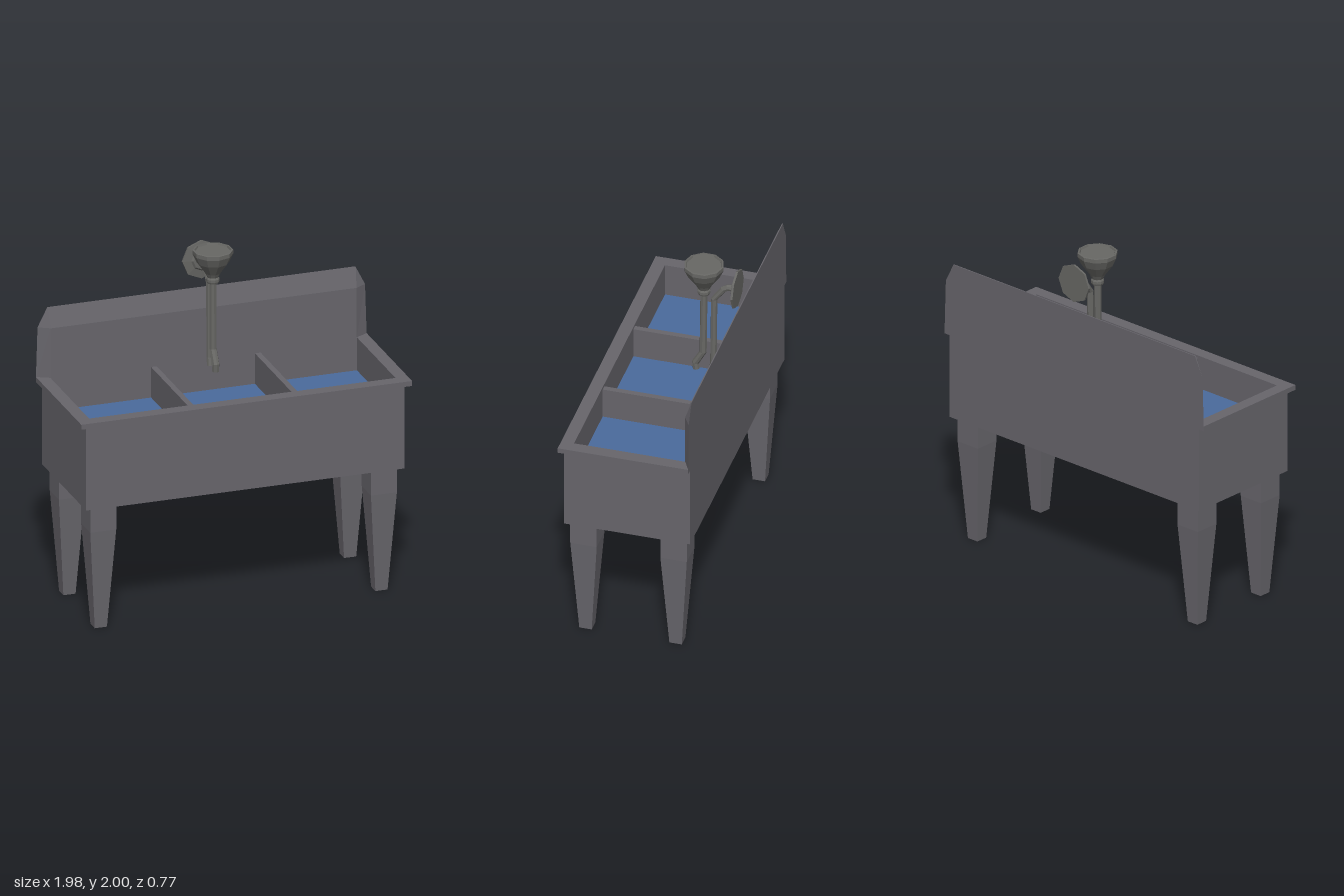
import * as THREE from 'three';

const steel = new THREE.MeshStandardMaterial({ color: 0x67656b, flatShading: true });
steel.name = 'grey steel';
const pipeMetal = new THREE.MeshStandardMaterial({ color: 0x676764, flatShading: true });
pipeMetal.name = 'pipe metal';
const waterBlue = new THREE.MeshStandardMaterial({ color: 0x4a6b9c, flatShading: true });
waterBlue.name = 'water blue';

const add = (parent, name, geometry, material, x = 0, y = 0, z = 0) => {
  const mesh = new THREE.Mesh(geometry, material);
  mesh.name = name;
  mesh.position.set(x, y, z);
  parent.add(mesh);
  return mesh;
};

// Rectangular ring in plan with the basin opening cut out, raised by height
function basinRing(x, back, front, height) {
  const rect = (Type, x0, x1, z0, z1) => new Type([
    [x0, -z1], [x1, -z1], [x1, -z0], [x0, -z0],
  ].map(([a, b]) => new THREE.Vector2(a, b)));
  const shape = rect(THREE.Shape, -x, x, back, front);
  shape.holes.push(rect(THREE.Path, -0.915, 0.915, -0.34, 0.31));
  return new THREE.ExtrudeGeometry(shape, { depth: height, bevelEnabled: false }).rotateX(-Math.PI / 2);
}

// Square post, straight at the top and tapering to the foot
function legGeometry() {
  const g = new THREE.BoxGeometry(0.155, 0.75, 0.155, 1, 2, 1).translate(0, 0.375, 0);
  const p = g.attributes.position;
  for (let i = 0; i < p.count; i++) {
    const y = p.getY(i);
    if (y < 0.1) p.setXYZ(i, p.getX(i) * 0.47, 0, p.getZ(i) * 0.47);
    else if (y < 0.7) p.setY(i, 0.6);
  }
  g.computeVertexNormals();
  return g;
}

// Upright panel with chamfered sides and a sloping, narrowed top
function backsplashGeometry() {
  const g = new THREE.BoxGeometry(2, 2, 2, 1, 2, 1);
  const p = g.attributes.position;
  for (let i = 0; i < p.count; i++) {
    const sx = Math.sign(p.getX(i)), level = Math.round(p.getY(i)) + 1, front = p.getZ(i) > 0;
    const halfWidth = level === 2 ? 0.92 : front ? 0.913 : level === 1 ? 0.978 : 0.988;
    const z = !front ? -0.38 : level === 2 ? -0.374 : -0.34;
    p.setXYZ(i, sx * halfWidth, [1.27, 1.585, 1.7][level], z);
  }
  g.computeVertexNormals();
  return g;
}

// Faceted pipe along [y, z] points listed from top to bottom
function pipeGeometry(points, radius) {
  const n = points.length - 1;
  const g = new THREE.CylinderGeometry(1, 1, 1, 8, n);
  const p = g.attributes.position;
  for (let i = 0; i < p.count; i++) {
    const k = Math.round((0.5 - p.getY(i)) * n);
    const a = points[Math.max(k - 1, 0)], b = points[Math.min(k + 1, n)];
    const t = new THREE.Vector2(a[0] - b[0], a[1] - b[1]).normalize();
    const s = p.getZ(i) * radius;
    p.setXYZ(i, p.getX(i) * radius, points[k][0] - t.y * s, points[k][1] + t.x * s);
  }
  g.computeVertexNormals();
  return g;
}

const lathe = (profile, sides) =>
  new THREE.LatheGeometry(profile.map(([r, y]) => new THREE.Vector2(r, y)), sides);

export function createModel() {
  const model = new THREE.Group();
  model.name = 'washSink';

  // Tub, rim, dividers and water
  const tub = new THREE.Group();
  tub.name = 'tub';
  model.add(tub);
  add(tub, 'tubWalls', basinRing(0.95, -0.38, 0.36, 0.505), steel, 0, 0.75, 0);
  add(tub, 'tubFloor', new THREE.BoxGeometry(1.83, 0.03, 0.65), steel, 0, 0.765, -0.015);
  add(tub, 'rim', basinRing(0.988, -0.38, 0.385, 0.03), steel, 0, 1.255, 0);
  for (const x of [-0.297, 0.323]) {
    add(tub, 'divider', new THREE.BoxGeometry(0.034, 0.49, 0.65), steel, x, 1.025, -0.015);
  }
  add(tub, 'water', new THREE.PlaneGeometry(1.83, 0.65).rotateX(-Math.PI / 2), waterBlue, 0, 1.085, -0.015);
  add(model, 'backsplash', backsplashGeometry(), steel);

  // Legs
  for (const x of [-0.838, 0.838]) {
    add(model, 'frontLeg', legGeometry(), steel, x, 0, 0.255);
    add(model, 'rearLeg', legGeometry(), steel, x, 0, -0.273);
  }

  // Drain pipe with a funnel on top
  const drain = new THREE.Group();
  drain.name = 'funnelPipe';
  model.add(drain);
  add(drain, 'pipe', pipeGeometry([[1.82, -0.185], [1.4, -0.18], [1.32, -0.135], [1.28, -0.14]], 0.021), pipeMetal);
  add(drain, 'funnel', lathe([
    [0, 1.8], [0.034, 1.8], [0.038, 1.81], [0.038, 1.825], [0.032, 1.835],
    [0.045, 1.86], [0.092, 1.925], [0.115, 1.975], [0.115, 1.998], [0.104, 2], [0.1, 1.99], [0, 1.99],
  ], 10), pipeMetal, 0, 0, -0.185);

  // Supply pipe ending in a round wall plate
  const supply = new THREE.Group();
  supply.name = 'supplyPipe';
  model.add(supply);
  add(supply, 'pipe', pipeGeometry(
    [[1.868, -0.37], [1.865, -0.325], [1.85, -0.3], [1.775, -0.245], [1.33, -0.24], [1.28, -0.23]], 0.019), pipeMetal);
  const plate = add(supply, 'wallPlate', lathe([
    [0, 0], [0.115, 0], [0.115, 0.012], [0.065, 0.018], [0.055, 0.028], [0.03, 0.03], [0, 0.03],
  ], 8), pipeMetal, 0, 1.868, -0.385);
  plate.rotation.x = Math.PI / 2;

  return model;
}
